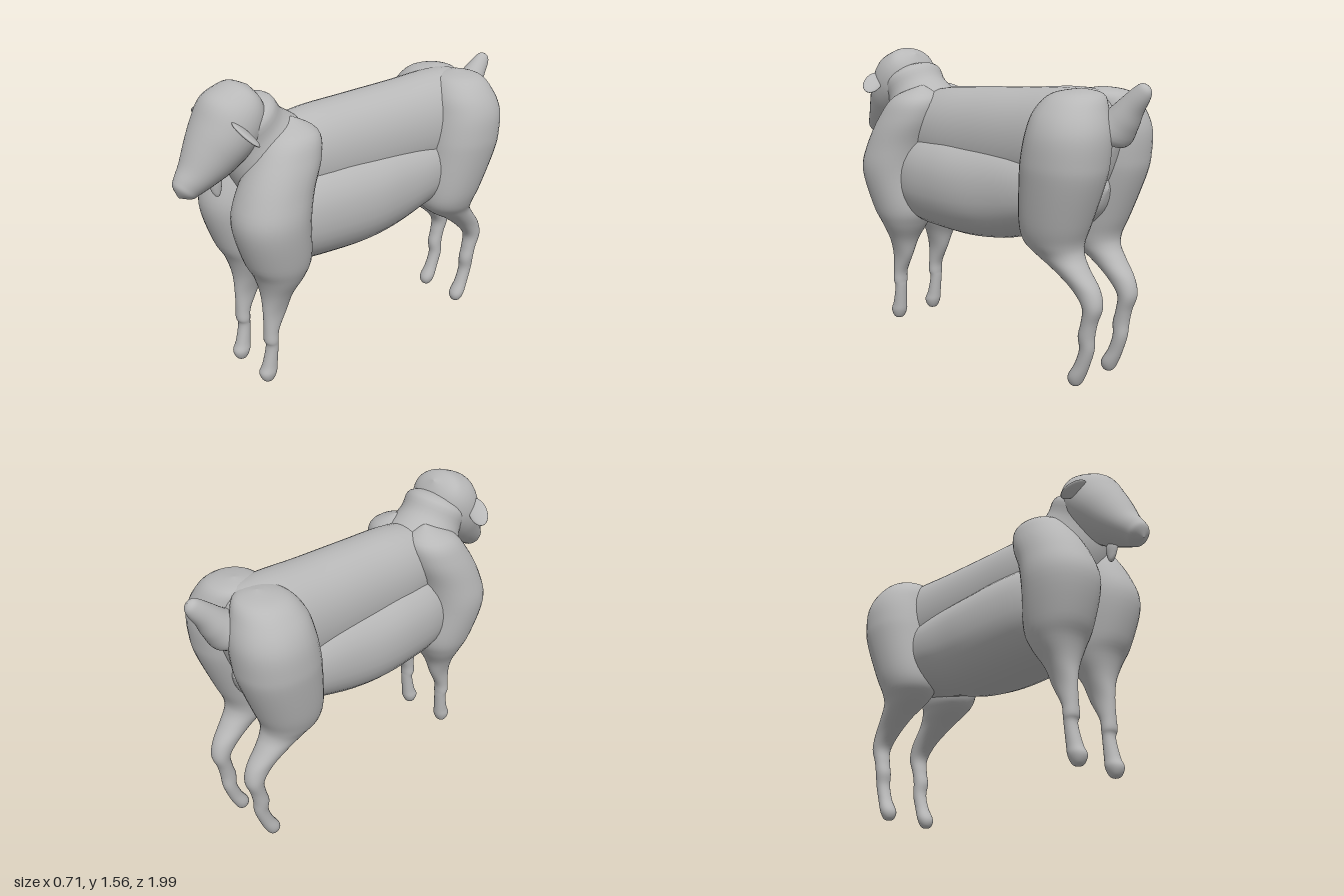
import * as THREE from 'three';

const grey = new THREE.MeshStandardMaterial({ color: 0xb8b8b8 });
grey.name = 'plain grey';

const catmull = (a, b, c, d, t) =>
  0.5 * (2 * b + (c - a) * t + (2 * a - 5 * b + 4 * c - d) * t * t + (3 * b - a - 3 * c + d) * t * t * t);

// Smooth body through rounded rings [x, y, z, radiusX, radiusDepth]; tilt turns
// the rings from flat (0) to upright (PI / 2); power above 2 makes them squarer.
function loft(rows, tilt = 0, power = 2, steps = 5, sides = 36) {
  const rings = [];
  const at = (i) => rows[Math.min(Math.max(i, 0), rows.length - 1)];
  for (let i = 0; i < rows.length - 1; i++) {
    for (let s = 0; s < steps; s++) {
      rings.push(rows[0].map((_, k) => catmull(at(i - 1)[k], at(i)[k], at(i + 1)[k], at(i + 2)[k], s / steps)));
    }
  }
  rings.push(rows[rows.length - 1]);

  const round = (v) => Math.sign(v) * Math.pow(Math.abs(v), 2 / power);
  const pos = [], index = [];
  rings.forEach(([x, y, z, rx, rd], i) => {
    for (let j = 0; j < sides; j++) {
      const a = (j / sides) * Math.PI * 2;
      const d = Math.max(rd, 0) * round(Math.sin(a));
      pos.push(x + Math.max(rx, 0) * round(Math.cos(a)), y + d * Math.sin(tilt), z + d * Math.cos(tilt));
      if (i === 0) continue;
      const k = (j + 1) % sides, p = (i - 1) * sides, q = i * sides;
      index.push(p + j, q + j, p + k, p + k, q + j, q + k);
    }
  });

  // Turn the faces outward if the enclosed volume is negative
  const v = (n) => new THREE.Vector3().fromArray(pos, n * 3);
  let volume = 0;
  for (let n = 0; n < index.length; n += 3) {
    volume += v(index[n]).dot(v(index[n + 1]).cross(v(index[n + 2])));
  }
  if (volume < 0) index.reverse();

  const geo = new THREE.BufferGeometry();
  geo.setAttribute('position', new THREE.Float32BufferAttribute(pos, 3));
  geo.setIndex(index);
  geo.computeVertexNormals();
  return geo;
}

// Leaf-shaped ear: a sphere flattened onto two slanted axes
function earGeometry(side) {
  const u = new THREE.Vector3(side * 0.07, -0.037, -0.012);
  const w = new THREE.Vector3(0, 0.034, 0.045);
  const n = new THREE.Vector3().crossVectors(u, w).setLength(0.014);
  const m = new THREE.Matrix4().makeBasis(u, w, n).setPosition(side * 0.2, 1.375, 0.73);
  return new THREE.SphereGeometry(1, 28, 18).applyMatrix4(m);
}

export function createModel() {
  const model = new THREE.Group();
  model.name = 'goat';
  const add = (name, geo) => {
    const mesh = new THREE.Mesh(geo, grey);
    mesh.name = name;
    model.add(mesh);
  };

  // Torso: narrow back over a wider belly
  add('back', loft([
    [0, 1.12, 0.52, 0, 0], [0, 1.12, 0.46, 0.16, 0.19], [0, 1.12, 0.3, 0.195, 0.245],
    [0, 1.125, 0, 0.2, 0.26], [0, 1.135, -0.3, 0.205, 0.265], [0, 1.15, -0.6, 0.21, 0.268],
    [0, 1.17, -0.75, 0.18, 0.21], [0, 1.18, -0.83, 0, 0],
  ], Math.PI / 2, 2.1));
  add('belly', loft([
    [0, 0.86, 0.63, 0, 0], [0, 0.86, 0.57, 0.2, 0.18], [0, 0.87, 0.42, 0.26, 0.262],
    [0, 0.872, 0.2, 0.28, 0.28], [0, 0.87, 0, 0.28, 0.277], [0, 0.885, -0.2, 0.262, 0.265],
    [0, 0.91, -0.42, 0.24, 0.225], [0, 0.92, -0.6, 0.2, 0.2], [0, 0.95, -0.73, 0.1, 0.12],
    [0, 0.95, -0.78, 0, 0],
  ], Math.PI / 2, 2.2));

  // Neck and head
  add('neck', loft([
    [0, 1.46, 0.66, 0, 0], [0, 1.41, 0.63, 0.155, 0.145], [0, 1.32, 0.58, 0.17, 0.17],
    [0, 1.2, 0.5, 0.21, 0.22], [0, 1.05, 0.42, 0.2, 0.2], [0, 0.98, 0.38, 0, 0],
  ], -0.56));
  add('head', loft([
    [0, 1.07, 0.98, 0, 0], [0, 1.09, 0.96, 0.053, 0.053], [0, 1.115, 0.935, 0.072, 0.07],
    [0, 1.16, 0.885, 0.102, 0.09], [0, 1.23, 0.82, 0.138, 0.125], [0, 1.31, 0.755, 0.17, 0.15],
    [0, 1.39, 0.69, 0.177, 0.168], [0, 1.46, 0.635, 0.157, 0.13], [0, 1.51, 0.605, 0.108, 0.078],
    [0, 1.535, 0.59, 0, 0],
  ], 0.75));
  add('beard', loft([
    [0, 1.025, 0.782, 0, 0], [0, 1.032, 0.782, 0.011, 0.012], [0, 1.06, 0.785, 0.016, 0.026],
    [0, 1.11, 0.79, 0.018, 0.034], [0, 1.15, 0.79, 0, 0],
  ], 0, 2, 4, 20));

  // Tail
  add('tail', loft([
    [0, 1.2, -0.76, 0, 0], [0, 1.22, -0.78, 0.11, 0.1], [0, 1.285, -0.85, 0.085, 0.08],
    [0, 1.35, -0.9, 0.06, 0.06], [0, 1.405, -0.948, 0.04, 0.046], [0, 1.432, -0.97, 0.025, 0.03],
    [0, 1.442, -0.98, 0, 0],
  ], 0.7));

  // Legs from hoof to shoulder or haunch, and ears, mirrored
  const frontLeg = [
    [0.13, 0, 0.63, 0, 0], [0.13, 0.008, 0.63, 0.026, 0.026], [0.13, 0.05, 0.628, 0.042, 0.045],
    [0.132, 0.1, 0.615, 0.037, 0.038], [0.135, 0.2, 0.6, 0.034, 0.03], [0.135, 0.24, 0.605, 0.04, 0.036],
    [0.135, 0.3, 0.6, 0.038, 0.04], [0.135, 0.4, 0.575, 0.046, 0.065], [0.135, 0.5, 0.56, 0.08, 0.083],
    [0.138, 0.6, 0.545, 0.13, 0.125], [0.145, 0.7, 0.555, 0.16, 0.168], [0.155, 0.9, 0.588, 0.185, 0.19],
    [0.15, 1.05, 0.555, 0.175, 0.185], [0.145, 1.2, 0.485, 0.148, 0.172], [0.12, 1.31, 0.44, 0.12, 0.13],
    [0.1, 1.375, 0.42, 0, 0],
  ];
  const hindLeg = [
    [0.13, 0, -0.715, 0, 0], [0.13, 0.008, -0.715, 0.026, 0.026], [0.13, 0.05, -0.722, 0.042, 0.042],
    [0.13, 0.12, -0.755, 0.036, 0.037], [0.13, 0.2, -0.78, 0.036, 0.036], [0.135, 0.27, -0.78, 0.04, 0.04],
    [0.135, 0.34, -0.795, 0.042, 0.038], [0.135, 0.42, -0.81, 0.05, 0.048], [0.135, 0.5, -0.765, 0.06, 0.073],
    [0.14, 0.58, -0.68, 0.08, 0.095], [0.14, 0.64, -0.61, 0.105, 0.125], [0.145, 0.7, -0.578, 0.135, 0.152],
    [0.152, 0.8, -0.59, 0.16, 0.178], [0.16, 1, -0.635, 0.187, 0.205], [0.16, 1.1, -0.65, 0.195, 0.208],
    [0.155, 1.22, -0.663, 0.19, 0.198], [0.135, 1.32, -0.66, 0.165, 0.17], [0.1, 1.395, -0.665, 0.12, 0.115],
    [0.08, 1.42, -0.67, 0, 0],
  ];
  for (const [label, side] of [['left', 1], ['right', -1]]) {
    const mirror = (rows) => rows.map(([x, ...rest]) => [x * side, ...rest]);
    add(`${label} front leg`, loft(mirror(frontLeg), 0, 2.15));
    add(`${label} hind leg`, loft(mirror(hindLeg), 0, 2.15));
    add(`${label} ear`, earGeometry(side));
  }
  return model;
}
